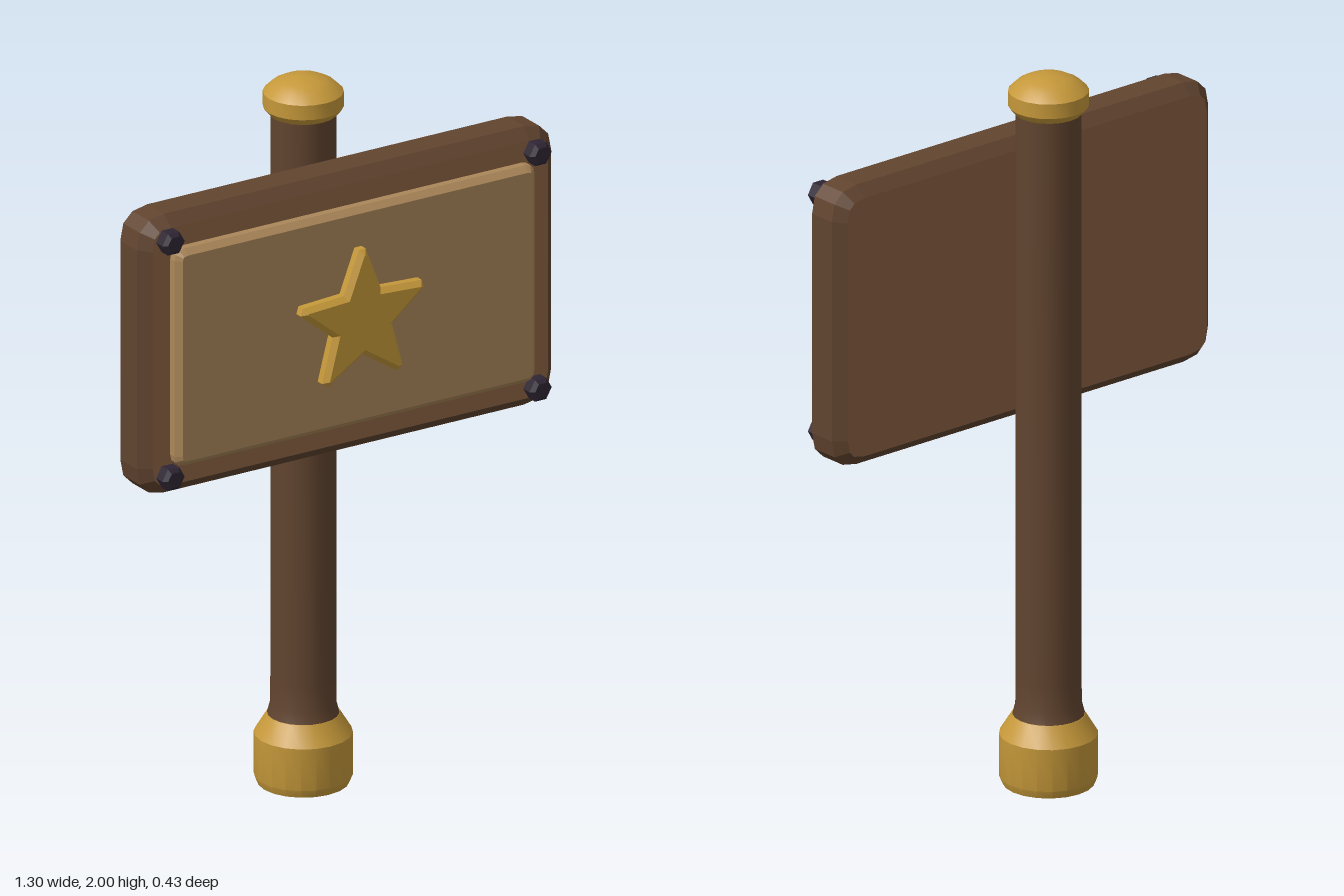
import * as THREE from 'three';
import { toCreasedNormals } from 'three/addons/utils/BufferGeometryUtils.js';

const mat = (name, color) => new THREE.MeshStandardMaterial({ name, color });

export function createModel() {
  const darkWood = mat('darkWood', 0x61442f);
  const wood = mat('wood', 0x8c6243);
  const paleWood = mat('paleWood', 0xab875a);
  const gold = mat('gold', 0xc5983a);
  const iron = mat('iron', 0x2e2533);

  const model = new THREE.Group();
  model.name = 'signpost';
  const postZ = -0.083;

  const add = (name, geometry, material, x = 0, y = 0, z = 0) => {
    const mesh = new THREE.Mesh(geometry, material);
    mesh.name = name;
    mesh.position.set(x, y, z);
    model.add(mesh);
    return mesh;
  };

  // Turned part standing on the post axis, from [radius, height] pairs
  const turned = (name, profile, material) => {
    const points = profile.map(([r, y]) => new THREE.Vector2(r, y));
    add(name, toCreasedNormals(new THREE.LatheGeometry(points, 20), 0.45), material, 0, 0, postZ);
  };

  // Chamfered slab whose full depth runs from z = 0 to z = depth
  const slab = (shape, depth, bevel, curveSegments = 3) => {
    const geometry = new THREE.ExtrudeGeometry(shape, {
      depth: depth - 2 * bevel, bevelEnabled: true, bevelSegments: 1,
      bevelSize: bevel, bevelThickness: bevel, bevelOffset: -bevel, curveSegments,
    });
    return geometry.translate(0, 0, bevel);
  };

  const roundedRect = (w, h, r) => {
    const x = w / 2, y = h / 2;
    const s = new THREE.Shape();
    s.moveTo(-x + r, -y);
    s.lineTo(x - r, -y);
    s.quadraticCurveTo(x, -y, x, -y + r);
    s.lineTo(x, y - r);
    s.quadraticCurveTo(x, y, x - r, y);
    s.lineTo(-x + r, y);
    s.quadraticCurveTo(-x, y, -x, y - r);
    s.lineTo(-x, -y + r);
    s.quadraticCurveTo(-x, -y, -x + r, -y);
    return s;
  };

  // Post with gold foot and domed cap
  turned('post', [[0.097, 0.19], [0.088, 0.225], [0.087, 0.3], [0.087, 1.91]], darkWood);
  turned('foot', [[0, 0], [0.122, 0], [0.131, 0.022], [0.131, 0.14], [0.097, 0.195], [0, 0.195]], gold);
  turned('cap', [[0, 1.895], [0.09, 1.895], [0.107, 1.915], [0.107, 1.956],
    [0.085, 1.977], [0.06, 1.99], [0.03, 1.998], [0, 2]], gold);

  // Board: lighter faces, dark chamfered rim
  const boardY = 1.403;
  add('board', slab(roundedRect(1.3, 0.79, 0.085), 0.14, 0.03), [wood, darkWood], 0, boardY, 0.003);

  // Raised panel
  add('panel', slab(roundedRect(1.13, 0.615, 0.03), 0.06, 0.016), paleWood, 0, boardY, 0.12);

  // Five-pointed star with blunted tips
  const star = new THREE.Shape();
  for (let i = 0; i < 5; i++) {
    const tip = Math.PI / 2 + i * Math.PI * 0.4;
    const valley = tip + Math.PI / 5;
    const corners = [[0.2, tip - 0.055], [0.2, tip + 0.055], [0.098, valley]];
    for (const [r, a] of corners) {
      const x = r * Math.cos(a), y = r * Math.sin(a);
      if (star.curves.length === 0 && i === 0 && a < tip) star.moveTo(x, y);
      else star.lineTo(x, y);
    }
  }
  star.closePath();
  add('star', slab(star, 0.055, 0.014), gold, 0, 1.403, 0.16);

  // Hexagonal corner bolts
  const hex = new THREE.Shape(Array.from({ length: 6 }, (_, i) =>
    new THREE.Vector2(0.035 * Math.cos(i * Math.PI / 3), 0.035 * Math.sin(i * Math.PI / 3))));
  const boltGeometry = slab(hex, 0.05, 0.01);
  for (const sx of [-1, 1]) {
    for (const sy of [-1, 1]) {
      add('bolt', boltGeometry, iron, sx * 0.576, boardY + sy * 0.334, 0.136);
    }
  }

  return model;
}
